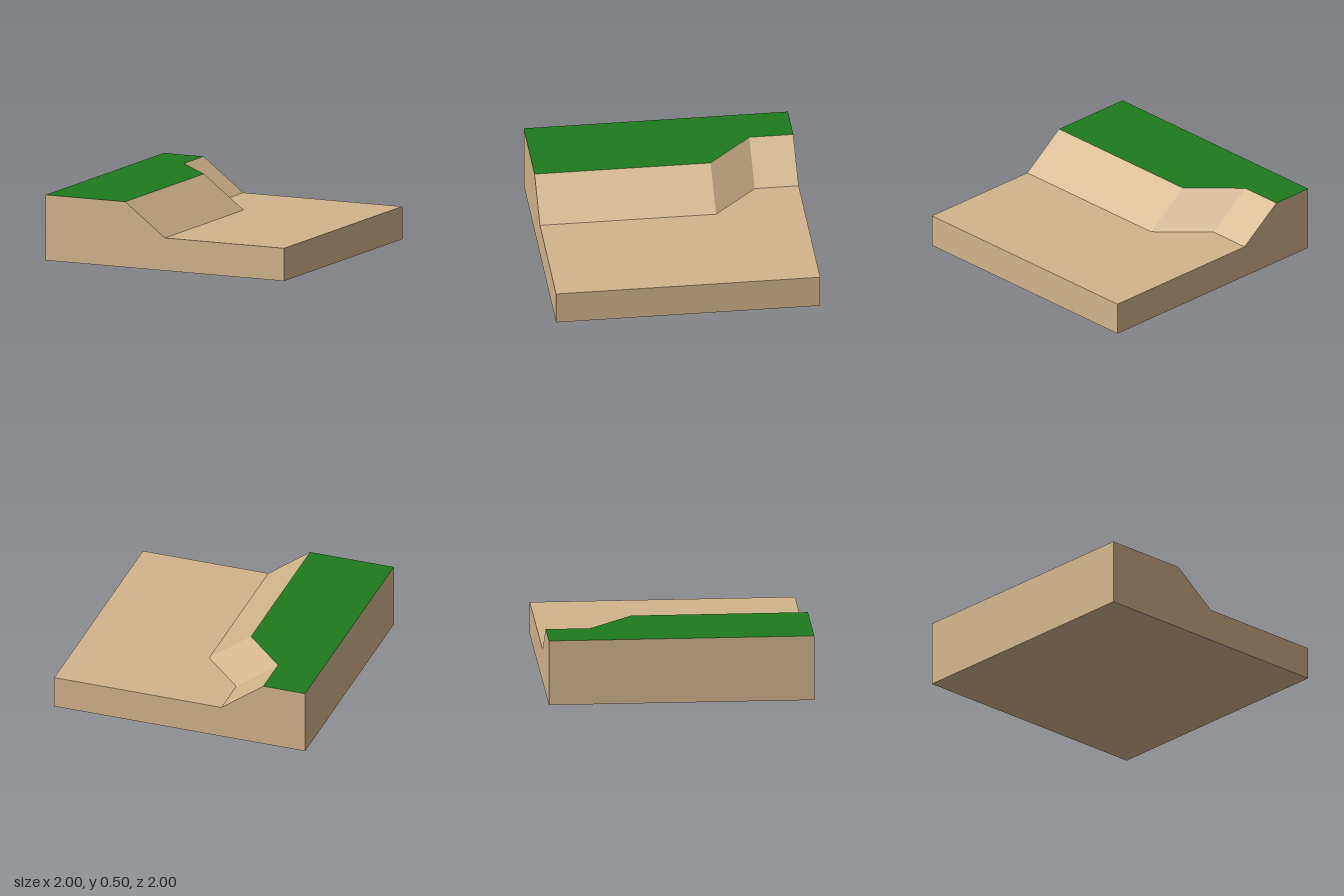
import * as THREE from 'three';

// Stations along z: the bank's crest and foot shift sideways between them
const T = 1 / 3;
const STATIONS = [
  { z: -1, crest: -2 * T, foot: -T },
  { z: -2 * T, crest: -2 * T, foot: -T },
  { z: -T, crest: -T, foot: 0 },
  { z: 1, crest: -T, foot: 0 },
];
const LOW = 0.25, HIGH = 0.5;

// Cross-section, counter-clockwise seen from the front
const section = ({ crest, foot }) =>
  [[-1, 0], [1, 0], [1, LOW], [foot, LOW], [crest, HIGH], [-1, HIGH]]
    .map(([x, y]) => new THREE.Vector2(x, y));

const GRASS_EDGE = 4; // the edge from crest to outer top corner

// Joins the chosen section edges from station to station, with optional end caps
function loft(edges, capped) {
  const pos = [];
  const put = (p, z) => pos.push(p.x, p.y, z);
  for (let s = 0; s < STATIONS.length - 1; s++) {
    const a = section(STATIONS[s]), b = section(STATIONS[s + 1]);
    const za = STATIONS[s].z, zb = STATIONS[s + 1].z;
    for (const i of edges) {
      const j = (i + 1) % a.length;
      put(a[i], za); put(a[j], za); put(b[j], zb);
      put(a[i], za); put(b[j], zb); put(b[i], zb);
    }
  }
  if (capped) {
    for (const [station, front] of [[STATIONS[0], false], [STATIONS[3], true]]) {
      const pts = section(station);
      for (const f of THREE.ShapeUtils.triangulateShape(pts, [])) {
        for (const k of front ? f : [...f].reverse()) put(pts[k], station.z);
      }
    }
  }
  const geo = new THREE.BufferGeometry();
  geo.setAttribute('position', new THREE.Float32BufferAttribute(pos, 3));
  geo.computeVertexNormals();
  return geo;
}

function part(name, geometry, color) {
  const mesh = new THREE.Mesh(geometry, new THREE.MeshStandardMaterial({ color, flatShading: true }));
  mesh.name = name;
  return mesh;
}

export function createModel() {
  const group = new THREE.Group();
  group.name = 'terrainTile';
  // Earth: underside, walls, low ground, sloping bank and both ends
  group.add(part('earth', loft([0, 1, 2, 3, 5], true), 0xd2b48c));
  // Grass: the raised plateau
  group.add(part('grass', loft([GRASS_EDGE], false), 0x1e7b1e));
  return group;
}
